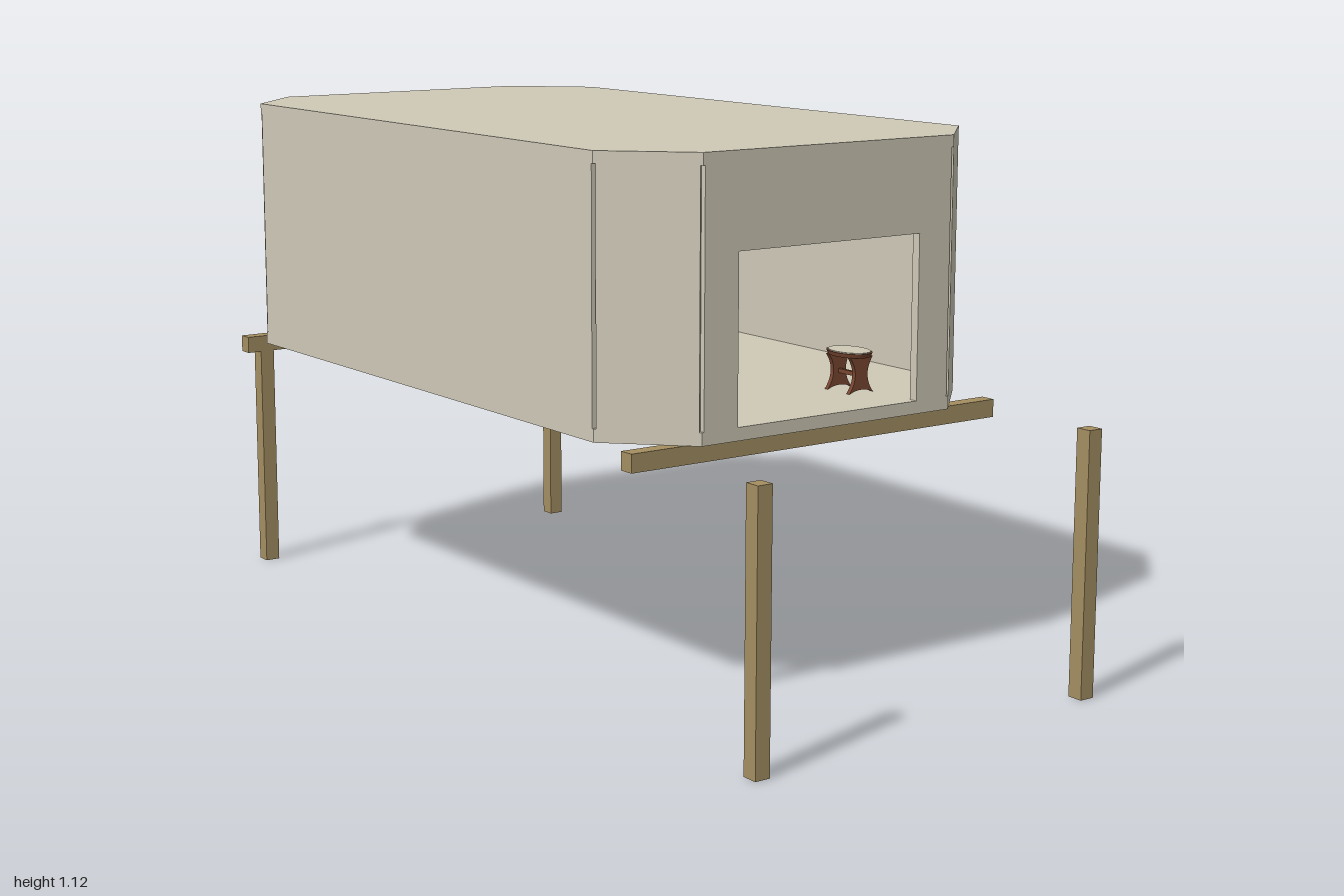
import * as THREE from 'three';

const mat = (name, color, side = THREE.FrontSide) => {
  const m = new THREE.MeshStandardMaterial({ color, side });
  m.name = name;
  return m;
};

export function createModel() {
  const beige = mat('plaster beige', 0xcfc9b7);
  const wood = mat('light timber', 0xa58f62);
  const brown = mat('dark wood', 0x7a4731);
  const glass = mat('window blue', 0x87adb8);
  const tubMat = mat('tub beige', 0xcfc9b7, THREE.DoubleSide);
  const root = new THREE.Group();
  root.name = 'stiltCabin';

  const add = (name, geo, m, x = 0, y = 0, z = 0, parent = root) => {
    const mesh = new THREE.Mesh(geo, m);
    mesh.name = name;
    mesh.position.set(x, y, z);
    parent.add(mesh);
    return mesh;
  };
  // Box given by its limits on each axis
  const span = (name, m, x0, x1, y0, y1, z0, z1, parent = root) =>
    add(name, new THREE.BoxGeometry(x1 - x0, y1 - y0, z1 - z0), m,
      (x0 + x1) / 2, (y0 + y1) / 2, (z0 + z1) / 2, parent);

  const X0 = -0.998, X1 = 0.675, Z = 0.467, C = 0.15, T = 0.02;
  const FLOOR = 0.585, CEIL = 1.1;
  const corners = [
    [X1, Z - C], [X1 - C, Z], [X0 + C, Z], [X0, Z - C],
    [X0, C - Z], [X0 + C, -Z], [X1 - C, -Z], [X1, C - Z],
  ];

  // Eight-sided floor and roof slabs
  const slab = (name, y, h) => {
    const shape = new THREE.Shape(corners.map(([x, z]) => new THREE.Vector2(x, z)));
    const geo = new THREE.ExtrudeGeometry(shape, { depth: h, bevelEnabled: false });
    geo.rotateX(-Math.PI / 2);
    add(name, geo, beige, 0, y, 0);
  };
  slab('floor', 0.558, FLOOR - 0.558);
  slab('roof', CEIL, 0.025);

  // Solid wall panels with narrow joints; the two ends are made separately
  corners.forEach(([ax, az], i) => {
    if (i === 3 || i === 7) return;
    const [bx, bz] = corners[(i + 1) % 8];
    const len = Math.hypot(bx - ax, bz - az);
    const angle = Math.atan2(-(bz - az), bx - ax);
    const inX = -(bz - az) / len, inZ = (bx - ax) / len;
    const wall = add('wallPanel', new THREE.BoxGeometry(len - 0.01, CEIL - FLOOR, T), beige,
      (ax + bx) / 2 + inX * T / 2, (FLOOR + CEIL) / 2, (az + bz) / 2 + inZ * T / 2);
    wall.rotation.y = angle;
  });

  // Entrance wall with a square opening
  const E = Z - C - 0.005;
  for (const s of [-1, 1]) {
    span('entranceWallSide', beige, X1 - T, X1, FLOOR, CEIL, s > 0 ? 0.23 : -E, s > 0 ? E : -0.23);
  }
  span('entranceLintel', beige, X1 - T, X1, 0.93, CEIL, -0.23, 0.23);

  // Window wall
  span('windowHeader', beige, X0, X0 + T, 1.01, CEIL, -E, E);
  span('windowPane', glass, X0 + 0.004, X0 + 0.012, 0.735, 1.01, -E, E);
  span('lowerPanel', brown, X0, X0 + T, FLOOR, 0.735, -E, E);
  for (const z of [-E, 0, E]) {
    span('windowMullion', wood, X0 - 0.002, X0 + T, 0.73, 1.01, z - 0.007, z + 0.007);
  }

  // Inner partitions
  span('lowPartition', beige, -0.4, -0.38, FLOOR, 0.81, 0.065, Z - T);
  span('tallPartition', beige, -0.4, -0.38, FLOOR, 0.91, T - Z, -0.065);

  // Beams and posts
  for (const x of [-0.963, 0.635]) {
    span('beam', wood, x - 0.017, x + 0.017, 0.52, 0.558, -Z, Z);
  }
  for (const s of [-1, 1]) {
    const z = s * 0.417;
    span('beamPost', wood, -0.98, -0.946, 0, 0.52, z - 0.017, z + 0.017);
    span('freePost', wood, 0.965, 1, 0, 0.558, z - 0.017, z + 0.017);
  }

  // Oval tub whose rim rises toward the front wall
  const tub = new THREE.Group();
  tub.name = 'tub';
  tub.position.set(0.08, FLOOR, 0.24);
  tub.scale.set(1.5, 1, 1);
  root.add(tub);
  const lathe = (name, pts, m) => {
    const geo = new THREE.LatheGeometry(pts.map(p => new THREE.Vector2(...p)), 32);
    const p = geo.attributes.position;
    for (let i = 0; i < p.count; i++) p.setY(i, p.getY(i) * (1 + 1.3 * p.getZ(i)));
    geo.computeVertexNormals();
    add(name, geo, m, 0, 0, 0, tub);
  };
  lathe('tubBase', [[0, 0.003], [0.15, 0.003], [0.157, 0.03]], mat('tub blue', 0x87adb8, THREE.DoubleSide));
  lathe('tubShell', [[0.157, 0.03], [0.168, 0.08], [0.17, 0.12], [0.174, 0.13],
    [0.168, 0.138], [0.155, 0.132], [0.145, 0.04], [0, 0.03]], tubMat);
  const water = add('water', new THREE.CircleGeometry(0.148, 32), glass, 0, 0.085, 0, tub);
  water.rotation.x = -Math.PI / 2;

  // Curved tap on the tub rim
  const tapPath = new THREE.CatmullRomCurve3([
    new THREE.Vector3(0, 0.68, 0.125), new THREE.Vector3(0, 0.715, 0.13),
    new THREE.Vector3(0, 0.715, 0.15), new THREE.Vector3(0, 0.695, 0.155)]);
  add('tap', new THREE.TubeGeometry(tapPath, 12, 0.005, 8), brown, 0.1, 0, 0);

  // Armchair with blue cushions
  const chair = new THREE.Group();
  chair.name = 'armchair';
  root.add(chair);
  for (const x of [0.34, 0.46]) {
    for (const z of [0.167, 0.275]) {
      span('chairPost', brown, x - 0.007, x + 0.007, FLOOR, 0.705, z - 0.007, z + 0.007, chair);
    }
    span('armrest', brown, x - 0.007, x + 0.007, 0.66, 0.67, 0.167, 0.275, chair);
  }
  span('seatFrame', brown, 0.34, 0.46, 0.612, 0.622, 0.167, 0.275, chair);
  span('seatCushion', glass, 0.345, 0.455, 0.622, 0.645, 0.172, 0.27, chair);
  span('backCushion', glass, 0.335, 0.347, 0.645, 0.715, 0.175, 0.267, chair);

  // Stool with waisted leg frames
  const stool = new THREE.Group();
  stool.name = 'stool';
  stool.position.set(0.505, FLOOR, -0.193);
  root.add(stool);
  const leg = new THREE.Shape();
  leg.moveTo(-0.032, 0);
  leg.quadraticCurveTo(0, 0.014, 0.032, 0);
  leg.quadraticCurveTo(0.002, 0.038, 0.03, 0.076);
  leg.lineTo(-0.03, 0.076);
  leg.quadraticCurveTo(-0.002, 0.038, -0.032, 0);
  const legGeo = new THREE.ExtrudeGeometry(leg, { depth: 0.01, bevelEnabled: false });
  legGeo.translate(0, 0, -0.005).rotateY(Math.PI / 2);
  for (const x of [-0.035, 0.035]) add('stoolLegs', legGeo, brown, x, 0, 0, stool);
  span('stretcher', brown, -0.035, 0.035, 0.033, 0.042, -0.004, 0.004, stool);
  add('stoolSeat', new THREE.CylinderGeometry(0.04, 0.037, 0.009, 24), brown, 0, 0.08, 0, stool).scale.x = 1.45;
  add('stoolTop', new THREE.CylinderGeometry(0.037, 0.037, 0.003, 24), beige, 0, 0.085, 0, stool).scale.x = 1.45;

  return root;
}
